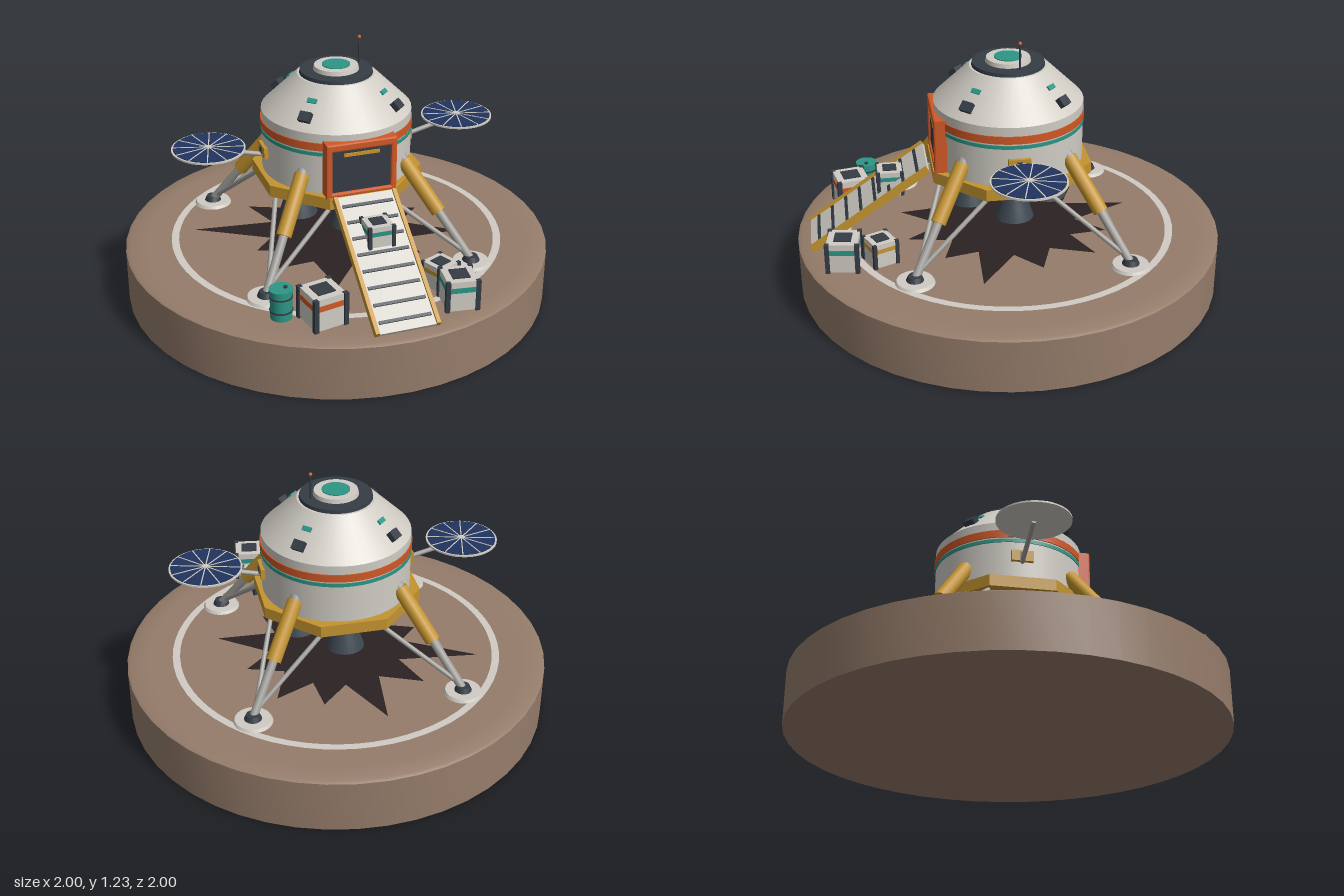
import * as THREE from 'three';
import { toCreasedNormals } from 'three/addons/utils/BufferGeometryUtils.js';

const mat = (name, color, side = THREE.FrontSide) => {
  const m = new THREE.MeshStandardMaterial({ color, side });
  m.name = name;
  return m;
};
const M = {
  soil: mat('soil', 0x957c6a), white: mat('white', 0xd0ccc4), grey: mat('grey', 0xa2a19d),
  gold: mat('gold', 0xc4942f), teal: mat('teal', 0x2b9686), orange: mat('orange', 0xcf5826),
  slate: mat('slate', 0x353c45), blue: mat('blue', 0x20345f), scorch: mat('scorch', 0x2b2122),
  nozzle: mat('nozzle', 0x3d4751, THREE.DoubleSide),
};
const GROUND = 0.26;

function add(parent, name, geo, material, x = 0, y = 0, z = 0) {
  const mesh = new THREE.Mesh(geo, material);
  mesh.name = name;
  mesh.position.set(x, y, z);
  parent.add(mesh);
  return mesh;
}
function group(parent, name, x = 0, y = 0, z = 0) {
  const g = new THREE.Group();
  g.name = name;
  g.position.set(x, y, z);
  parent.add(g);
  return g;
}
const box = (w, h, d) => new THREE.BoxGeometry(w, h, d);

// Upright cylinder or cone between two heights
function drum(parent, name, material, rBottom, rTop, y0, y1, seg = 48, open = false) {
  return add(parent, name, new THREE.CylinderGeometry(rTop, rBottom, y1 - y0, seg, 1, open), material, 0, (y0 + y1) / 2, 0);
}

// Round bar between two points
function strut(parent, name, material, a, b, r) {
  const p = new THREE.Vector3(...a), q = new THREE.Vector3(...b);
  const d = q.clone().sub(p);
  const mesh = add(parent, name, new THREE.CylinderGeometry(r, r, d.length(), 14), material);
  mesh.position.copy(p).add(q).multiplyScalar(0.5);
  mesh.quaternion.setFromUnitVectors(new THREE.Vector3(0, 1, 0), d.normalize());
}

function buildGround(root) {
  const g = group(root, 'ground');
  const profile = [[0, 0], [1, 0], [1, 0.25], [0.985, 0.258], [0.9, GROUND], [0, GROUND]]
    .map(p => new THREE.Vector2(...p));
  add(g, 'groundDisc', toCreasedNormals(new THREE.LatheGeometry(profile, 48), 0.5), M.soil);

  const ring = add(g, 'landingRing', new THREE.RingGeometry(0.75, 0.785, 64), M.white, 0, GROUND + 0.002, 0);
  ring.rotation.x = -Math.PI / 2;

  // Burn mark: spikes given as angle and reach
  const spikes = [[-100, 0.6], [-71, 0.47], [-45, 0.5], [-12, 0.46], [19, 0.58], [48, 0.45],
    [78, 0.5], [108, 0.53], [147, 0.49], [170, 0.42], [199, 0.68], [228, 0.5]];
  const pts = [];
  spikes.forEach(([deg, r], i) => {
    const next = i + 1 < spikes.length ? spikes[i + 1][0] : spikes[0][0] + 360;
    [[deg, r], [(deg + next) / 2, 0.32]].forEach(([d, rad]) => {
      const a = d * Math.PI / 180;
      pts.push(new THREE.Vector2(rad * Math.cos(a), -rad * Math.sin(a)));
    });
  });
  const mark = add(g, 'burnMark', new THREE.ShapeGeometry(new THREE.Shape(pts)), M.scorch, 0, GROUND + 0.003, 0);
  mark.rotation.x = -Math.PI / 2;
}

function buildCabin(root) {
  const g = group(root, 'cabin');
  // Octagonal deck with a tapered lower edge
  [['deck', 0.395, 0.395, 0.575, 0.63], ['deckTaper', 0.335, 0.395, 0.55, 0.575]].forEach(([n, rb, rt, y0, y1]) => {
    const d = drum(g, n, M.gold, rb, rt, y0, y1, 8);
    d.geometry = toCreasedNormals(d.geometry.rotateY(Math.PI / 8), 0.3);
  });

  drum(g, 'hull', M.white, 0.345, 0.345, 0.625, 0.915);
  drum(g, 'orangeBand', M.orange, 0.35, 0.35, 0.837, 0.873);
  drum(g, 'tealBand', M.teal, 0.349, 0.349, 0.812, 0.829);
  drum(g, 'roofCone', M.white, 0.345, 0.178, 0.915, 1.078);
  drum(g, 'roofCollar', M.slate, 0.168, 0.165, 1.075, 1.094);
  drum(g, 'roofHatch', M.white, 0.105, 0.1, 1.09, 1.113);
  drum(g, 'hatchWindow', M.teal, 0.064, 0.064, 1.11, 1.117);

  strut(g, 'antenna', M.slate, [0.123, 1.08, -0.035], [0.123, 1.215, -0.035], 0.004);
  add(g, 'antennaTip', new THREE.SphereGeometry(0.009, 10, 8), M.orange, 0.123, 1.218, -0.035);

  // Thruster pods around the roof
  for (let i = 0; i < 4; i++) {
    const pod = group(g, 'thrusterPod');
    pod.rotation.y = Math.PI / 4 + i * Math.PI / 2;
    add(pod, 'podBox', box(0.055, 0.045, 0.04), M.slate, 0, 0.965, 0.3).rotation.x = -Math.PI / 4;
    add(pod, 'podMarker', box(0.045, 0.022, 0.009), M.teal, 0, 1.022, 0.238).rotation.x = -Math.PI / 4;
  }

  // Engine bells under the deck
  for (let i = 0; i < 4; i++) {
    const a = i * Math.PI / 2;
    const profile = [[0.09, 0.4], [0.07, 0.46], [0.045, 0.52], [0.035, 0.56]].map(p => new THREE.Vector2(...p));
    add(g, 'engineBell', new THREE.LatheGeometry(profile, 24), M.nozzle, 0.187 * Math.cos(a), 0, 0.187 * Math.sin(a));
  }
}

function buildDoor(root) {
  const g = group(root, 'door');
  const w = 0.157, y0 = 0.633, y1 = 0.877;
  const rect = (s, x, a, b) => s.moveTo(-x, a).lineTo(x, a).lineTo(x, b).lineTo(-x, b).closePath();
  const shape = rect(new THREE.Shape(), w, y0, y1);
  shape.holes.push(rect(new THREE.Path(), 0.144, y0 + 0.008, 0.854));
  const frame = new THREE.ExtrudeGeometry(shape, { depth: 0.055, bevelSize: 0.008, bevelThickness: 0.008, bevelSegments: 2 });
  add(g, 'doorFrame', frame, M.orange, 0, 0, 0.297);
  add(g, 'doorPanel', box(0.3, 0.235, 0.05), M.slate, 0, 0.747, 0.325);
  add(g, 'doorStrip', box(0.165, 0.015, 0.008), M.gold, 0, 0.826, 0.353);
}

function buildRamp(root) {
  const g = group(root, 'ramp', 0, 0.452, 0.66);
  g.rotation.x = 0.597;
  const len = 0.66;
  add(g, 'rampDeck', box(0.26, 0.018, len), M.white);
  for (const s of [-1, 1]) add(g, 'rampRail', box(0.018, 0.034, len), M.gold, s * 0.137, 0.002, 0);
  for (let i = 0; i < 8; i++) add(g, 'rampCleat', box(0.235, 0.008, 0.014), M.slate, 0, 0.011, -0.28 + i * 0.08);
}

function buildLeg(root, sx, sz) {
  const g = group(root, 'landingLeg');
  const at = (r, y) => [sx * r, y, sz * r];
  strut(g, 'legSocket', M.grey, at(0.225, 0.735), at(0.25, 0.69), 0.026);
  strut(g, 'legSleeve', M.gold, at(0.24, 0.708), at(0.368, 0.485), 0.035);
  strut(g, 'legPiston', M.grey, at(0.36, 0.5), at(0.482, 0.285), 0.02);
  const foot = [sx * 0.475, 0.3, sz * 0.475];
  strut(g, 'legBrace', M.grey, foot, [sx * 0.15, 0.565, sz * 0.34], 0.011);
  strut(g, 'legBrace', M.grey, foot, [sx * 0.34, 0.565, sz * 0.15], 0.011);
  const pad = group(g, 'footPad', sx * 0.487, 0, sz * 0.487);
  drum(pad, 'padDisc', M.white, 0.09, 0.082, GROUND, 0.274, 28);
  drum(pad, 'padJoint', M.slate, 0.042, 0.03, 0.27, 0.297, 18);
}

function buildSolarWing(root, s) {
  const g = group(root, 'solarWing');
  add(g, 'wingMount', box(0.03, 0.052, 0.1), M.gold, s * 0.345, 0.74, 0);
  add(g, 'wingMountPlate', box(0.008, 0.03, 0.022), M.slate, s * 0.361, 0.74, 0);
  strut(g, 'wingArm', M.grey, [s * 0.34, 0.715, 0], [s * 0.605, 0.78, 0], 0.011);
  const dish = group(g, 'solarDish', s * 0.605, 0, 0);
  drum(dish, 'dishBack', M.white, 0.167, 0.167, 0.779, 0.787, 40);
  drum(dish, 'dishCells', M.blue, 0.159, 0.159, 0.785, 0.79, 40);
  drum(dish, 'dishHub', M.white, 0.016, 0.016, 0.785, 0.794, 16);
  for (let i = 0; i < 6; i++) add(dish, 'dishSpoke', box(0.32, 0.004, 0.005), M.white, 0, 0.79, 0).rotation.y = (i + 0.5) * Math.PI / 6;
}

function buildCrate(root, x, y, z, size, turn, band) {
  const g = group(root, 'crate', x, y + size / 2, z);
  g.rotation.y = turn;
  const e = size * 0.46;
  add(g, 'crateBody', box(size * 0.96, size * 0.97, size * 0.96), M.white);
  add(g, 'crateBand', box(size * 0.98, size * 0.17, size * 0.98), band, 0, size * 0.2, 0);
  add(g, 'crateLid', box(size * 0.54, 0.008, size * 0.54), M.slate, 0, size * 0.49, 0);
  for (const i of [-1, 1]) for (const j of [-1, 1]) {
    add(g, 'cratePost', box(size * 0.14, size, size * 0.14), M.slate, i * e, 0, j * e);
  }
}

function buildBarrel(root) {
  const g = group(root, 'barrel', -0.467, 0, 0.652);
  drum(g, 'barrelBody', M.teal, 0.048, 0.048, GROUND, 0.396, 24);
  for (const y of [0.295, 0.36]) drum(g, 'barrelHoop', M.slate, 0.051, 0.051, y, y + 0.007, 24);
  drum(g, 'barrelRim', M.teal, 0.052, 0.052, 0.39, 0.4, 24);
  add(g, 'barrelCap', new THREE.CylinderGeometry(0.009, 0.009, 0.008, 12), M.slate, 0.02, 0.403, 0);
}

export function createModel() {
  const root = new THREE.Group();
  root.name = 'landerScene';
  buildGround(root);
  buildCabin(root);
  buildDoor(root);
  buildRamp(root);
  for (const sx of [-1, 1]) {
    for (const sz of [-1, 1]) buildLeg(root, sx, sz);
    buildSolarWing(root, sx);
  }
  buildCrate(root, -0.31, GROUND, 0.735, 0.155, 0.2, M.orange);
  buildCrate(root, 0.29, GROUND, 0.79, 0.145, -0.14, M.teal);
  buildCrate(root, 0.275, GROUND, 0.625, 0.12, 0.42, M.gold);
  buildCrate(root, 0, 0.475, 0.557, 0.118, 0, M.teal);
  buildBarrel(root);
  return root;
}
